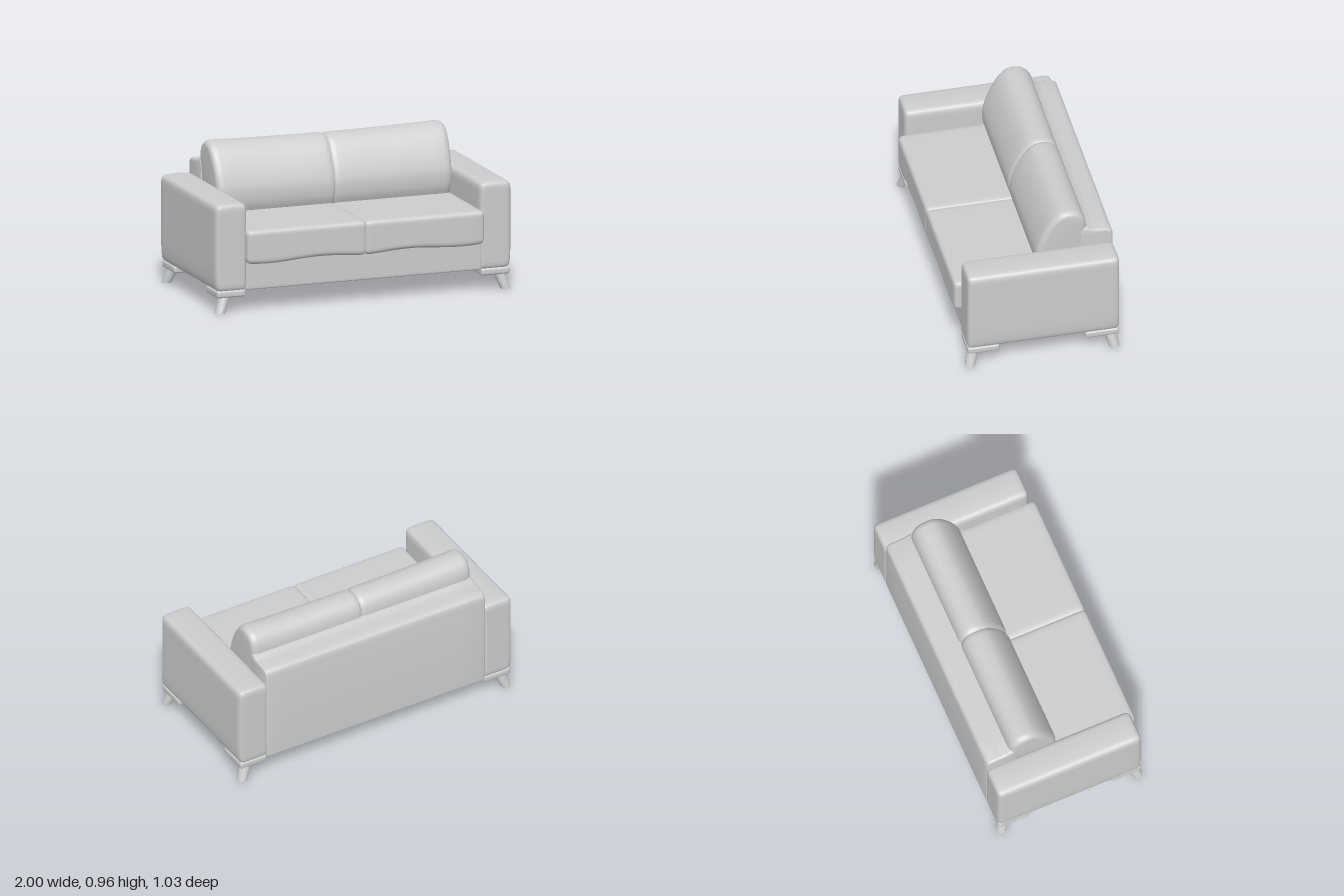
import * as THREE from 'three';
import { mergeVertices, toCreasedNormals } from 'three/addons/utils/BufferGeometryUtils.js';

const fabric = new THREE.MeshStandardMaterial({ color: 0xcccccc });
fabric.name = 'light grey fabric';

// Upholstered block between two corners with rounded edges; warp(p) may reshape it
function softBox(min, max, r, warp) {
  const half = max.map((v, i) => (v - min[i]) / 2);
  const mid = max.map((v, i) => (v + min[i]) / 2);
  const geo = new THREE.BoxGeometry(2, 2, 2, 20, 20, 20);
  geo.deleteAttribute('uv');
  const pos = geo.attributes.position;
  const p = new THREE.Vector3();
  const h = new THREE.Vector3(...half);
  const inner = h.clone().subScalar(r);
  for (let i = 0; i < pos.count; i++) {
    // Sine spacing packs the vertices near the rounded edges
    p.fromBufferAttribute(pos, i);
    p.set(...p.toArray().map((v) => Math.sin((v * Math.PI) / 2))).multiply(h);
    const core = p.clone().clamp(inner.clone().negate(), inner);
    p.sub(core).setLength(r).add(core);
    p.add(new THREE.Vector3(...mid));
    if (warp) warp(p);
    pos.setXYZ(i, p.x, p.y, p.z);
  }
  geo.deleteAttribute('normal');
  const out = mergeVertices(geo, 1e-5);
  out.computeVertexNormals();
  return out;
}

// Mirrors a geometry to the other side, keeping its faces outward
function mirrored(geo) {
  const out = geo.clone().scale(-1, 1, 1);
  const idx = out.index.array;
  for (let i = 0; i < idx.length; i += 3) [idx[i], idx[i + 1]] = [idx[i + 1], idx[i]];
  out.computeVertexNormals();
  return out;
}

// Side profile (points are [-z, y]) swept along x with soft ends
function sweep(shape, x0, x1, thickness, size, warp) {
  const geo = new THREE.ExtrudeGeometry(shape, {
    depth: x1 - x0 - 2 * thickness, steps: 10, curveSegments: 4,
    bevelThickness: thickness, bevelSize: size, bevelOffset: -size, bevelSegments: 6,
  });
  geo.translate(0, 0, x0 + thickness).rotateY(Math.PI / 2);
  const pos = geo.attributes.position;
  const p = new THREE.Vector3();
  for (let i = 0; warp && i < pos.count; i++) {
    warp(p.fromBufferAttribute(pos, i));
    pos.setXYZ(i, p.x, p.y, p.z);
  }
  return toCreasedNormals(geo, 0.75);
}

const vec = (pts) => pts.map(([x, y]) => new THREE.Vector2(x, y));

export function createModel() {
  const sofa = new THREE.Group();
  sofa.name = 'sofa';
  const add = (name, geo) => {
    const mesh = new THREE.Mesh(geo, fabric);
    mesh.name = name;
    sofa.add(mesh);
  };

  add('base', softBox([-0.81, 0.132, -0.5], [0.81, 0.36, 0.455], 0.012));

  // Backrest with a ridge behind the cushions
  const back = new THREE.Shape();
  back.moveTo(0.3, 0.133);
  back.lineTo(0.3, 0.78);
  back.splineThru(vec([[0.315, 0.812], [0.34, 0.821], [0.385, 0.804], [0.43, 0.799],
    [0.48, 0.793], [0.505, 0.778], [0.513, 0.745]]));
  back.lineTo(0.513, 0.133);
  add('backrest', sweep(back, -0.803, 0.803, 0.02, 0.015));

  // Arm: crowned top, slightly tucked in at the foot
  const arm = softBox([0.785, 0.132, -0.513], [1, 0.692, 0.47], 0.035, (p) => {
    const u = (p.x - 0.8925) / 0.1075;
    if (p.y > 0.6) p.y += 0.008 * (1 - u * u);
    if (p.x > 0.9) p.x -= 0.012 * Math.max(0, (0.25 - p.y) / 0.12) ** 2;
  });
  add('leftArm', arm);
  add('rightArm', mirrored(arm));

  // Seat cushion with a sagging lower front edge
  const seat = softBox([-0.006, 0.312, -0.34], [0.803, 0.526, 0.515], 0.032, (p) => {
    const front = THREE.MathUtils.smoothstep(p.z, 0.3, 0.48);
    const low = THREE.MathUtils.clamp((0.42 - p.y) / 0.1, 0, 1);
    p.y += 0.009 * front * low * Math.cos((p.x - 0.3) * 9);
  });
  add('leftSeatCushion', seat);
  add('rightSeatCushion', mirrored(seat));

  // Back cushions: leaning front, fat rounded top rising towards the outer end
  const pillow = new THREE.Shape();
  pillow.moveTo(0.05, 0.51);
  pillow.splineThru(vec([[0.026, 0.57], [0.02, 0.64], [0.03, 0.7], [0.06, 0.78], [0.108, 0.866],
    [0.165, 0.925], [0.225, 0.942], [0.285, 0.93], [0.328, 0.89], [0.346, 0.82], [0.343, 0.7]]));
  pillow.lineTo(0.33, 0.51);
  const plump = (p) => {
    const up = THREE.MathUtils.clamp((p.y - 0.52) / 0.42, 0, 1);
    p.y += 0.014 * up * (Math.abs(p.x) / 0.78) ** 2;
    p.x *= 0.985 + 0.02 * up;
  };
  add('leftBackCushion', sweep(pillow, -0.012, 0.8, 0.05, 0.035, plump));
  add('rightBackCushion', sweep(pillow, -0.8, 0.012, 0.05, 0.035, plump));

  // Four corner plates with splayed legs
  for (const s of [1, -1]) {
    for (const end of [1, -1]) {
      const name = (end > 0 ? 'front' : 'rear') + (s > 0 ? 'Left' : 'Right');
      const z = end > 0 ? [0.262, 0.468] : [-0.508, -0.292];
      const x = s > 0 ? [0.795, 0.988] : [-0.988, -0.795];
      add(name + 'Plate', softBox([x[0], 0.095, z[0]], [x[1], 0.142, z[1]], 0.015));

      const leg = new THREE.CylinderGeometry(0.037, 0.033, 0.105, 24, 6);
      leg.translate(0, 0.0525, 0);
      const pos = leg.attributes.position;
      for (let i = 0; i < pos.count; i++) {
        const drop = 1 - pos.getY(i) / 0.105;
        pos.setX(i, pos.getX(i) + s * (0.925 + 0.04 * drop));
        pos.setZ(i, pos.getZ(i) + (end > 0 ? 0.423 : -0.455) + end * 0.027 * drop);
      }
      add(name + 'Leg', toCreasedNormals(leg, 0.8));
    }
  }
  return sofa;
}
